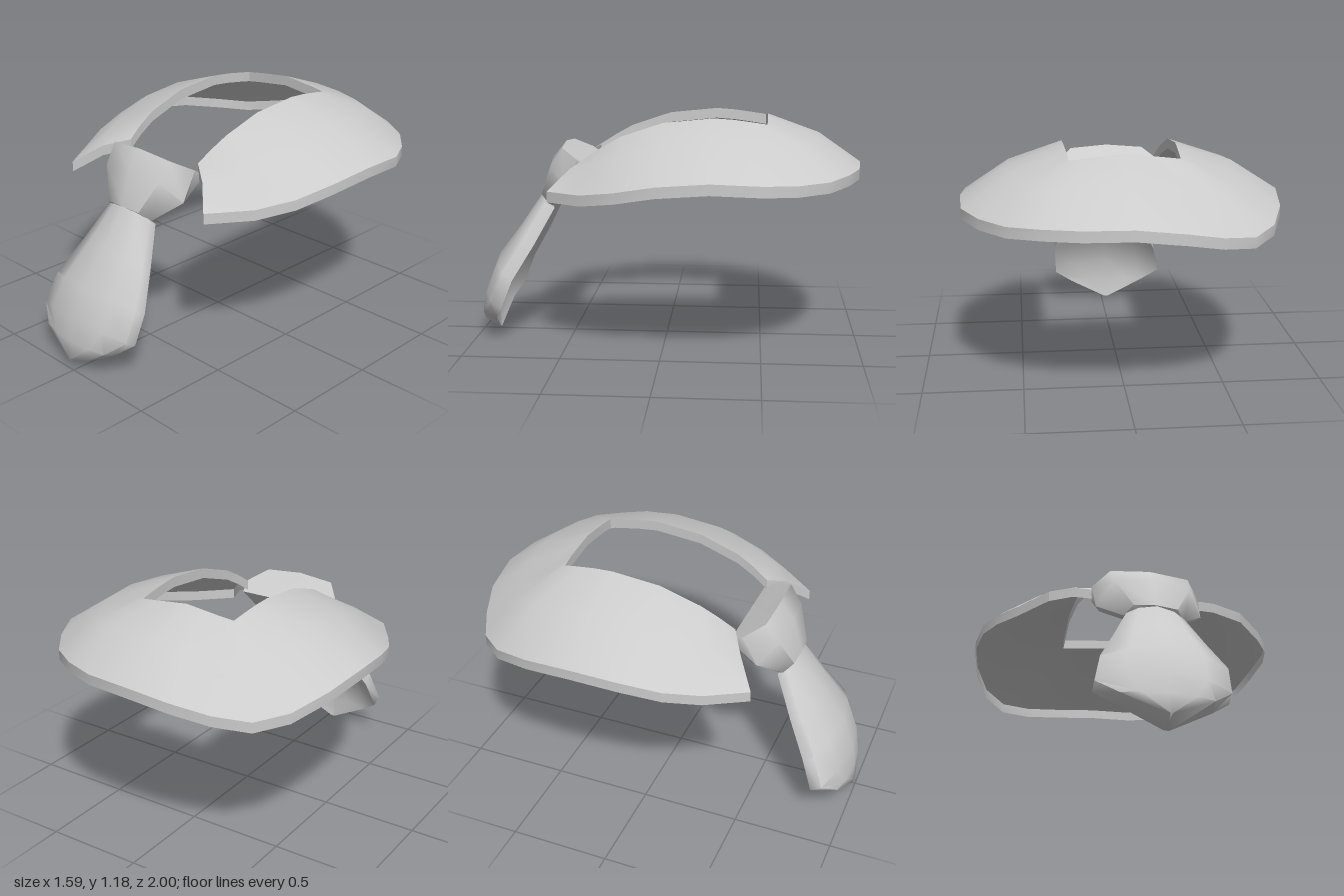
import * as THREE from 'three';
import { toCreasedNormals } from 'three/addons/utils/BufferGeometryUtils.js';

const material = new THREE.MeshStandardMaterial({ color: 0xcccccc, side: THREE.DoubleSide });
const V = (x, y, z) => new THREE.Vector3(x, y, z);

// Triangles between successive rows of points; closed rows wrap around
function skin(rows, closed) {
  const tris = [];
  const n = rows[0].length;
  for (let i = 0; i < rows.length - 1; i++) {
    for (let j = 0; j < (closed ? n : n - 1); j++) {
      const k = (j + 1) % n;
      const [a, b, c, d] = [rows[i][j], rows[i][k], rows[i + 1][k], rows[i + 1][j]];
      tris.push([a, b, c], [a, c, d]);
    }
  }
  return tris;
}

function makeMesh(name, tris, crease) {
  const geometry = new THREE.BufferGeometry().setFromPoints(tris.flat());
  const mesh = new THREE.Mesh(toCreasedNormals(geometry, crease), material);
  mesh.name = name;
  return mesh;
}

// Solid through a run of closed sections, capped at both ends
function loft(name, rings, crease) {
  const tris = skin(rings, true);
  const cap = (ring) => {
    const centre = ring.reduce((s, p) => s.add(p), V(0, 0, 0)).divideScalar(ring.length);
    return ring.map((p, j) => [ring[(j + 1) % ring.length], p, centre]);
  };
  tris.push(...cap(rings[0]), ...cap([...rings[rings.length - 1]].reverse()));
  // Turn the faces outward, judged by the enclosed volume
  const volume = tris.reduce((v, [a, b, c]) => v + a.dot(b.clone().cross(c)), 0);
  if (volume < 0) tris.forEach((t) => t.reverse());
  return makeMesh(name, tris, crease);
}

// Collar: edge points from the middle of the back to a front tip
function createCollar() {
  const inner = [
    [0, 1.185, -0.52], [0.09, 1.175, -0.52], [0.18, 1.165, -0.52], [0.265, 1.155, -0.515],
    [0.268, 1.166, -0.44], [0.272, 1.178, -0.35], [0.277, 1.185, -0.25], [0.275, 1.16, 0],
    [0.268, 1.09, 0.21], [0.258, 1.04, 0.3], [0.245, 0.985, 0.38],
  ];
  const outerRight = [
    [0, 0.94, -1], [0.23, 0.935, -0.975], [0.41, 0.93, -0.91], [0.565, 0.92, -0.81],
    [0.69, 0.92, -0.655], [0.775, 0.93, -0.49], [0.79, 0.94, -0.25], [0.775, 0.92, 0],
    [0.715, 0.88, 0.2], [0.615, 0.85, 0.37], [0.46, 0.84, 0.555],
  ];
  // The other side droops at its back corner
  const outerLeft = [
    [0, 0.94, -1], [0.23, 0.91, -0.975], [0.41, 0.87, -0.91], [0.57, 0.847, -0.825],
    [0.685, 0.868, -0.69], [0.76, 0.91, -0.49], [0.795, 0.94, -0.24], [0.775, 0.92, 0],
    [0.72, 0.88, 0.195], [0.635, 0.85, 0.36], [0.51, 0.84, 0.555],
  ];
  const section = (outer, side) => (start, i) => {
    const tip = i === inner.length - 1;
    const a = V(...start), c = V(...outer[i]);
    const b = a.clone().lerp(c, tip ? 0.5 : 0.55).add(tip ? V(0, 0.025, -0.012) : V(0, 0.04, 0));
    return [c, b, a].map((p) => V(p.x * side, p.y, p.z));
  };
  const left = inner.map(section(outerLeft, -1)).reverse();
  const rows = [...left, ...inner.map(section(outerRight, 1)).slice(1)];

  // Narrow hem hanging from the whole outline
  const outline = [
    ...rows.map((r) => r[0]),
    rows[rows.length - 1][1],
    ...rows.map((r) => r[2]).reverse(),
    rows[0][1],
  ];
  const lower = outline.map((p) => V(p.x, p.y - 0.053, p.z));
  const collar = new THREE.Group();
  collar.name = 'collar';
  collar.add(
    makeMesh('collarTop', skin(rows, false), 1),
    makeMesh('collarHem', skin([outline, lower], true), 0.75),
  );
  return collar;
}

// Knot: half outline of each ring from the front middle to the back
function createKnot() {
  const halves = [
    [[0, 1.035, 0.53], [0.2, 1.02, 0.52], [0.277, 0.97, 0.43], [0.265, 0.925, 0.36], [0, 0.925, 0.36]],
    [[0, 0.95, 0.6], [0.19, 0.925, 0.585], [0.268, 0.82, 0.5], [0.245, 0.81, 0.47], [0, 0.81, 0.47]],
    [[0, 0.772, 0.655], [0.11, 0.765, 0.648], [0.152, 0.725, 0.605], [0.135, 0.71, 0.585], [0, 0.71, 0.585]],
  ];
  const rings = halves.map((half) => [
    ...half.map((p) => V(...p)),
    ...half.slice(1, -1).reverse().map(([x, y, z]) => V(-x, y, z)),
  ]);
  return loft('tieKnot', rings, 1.05);
}

// Tie blade: rows of [left x, right x, middle y, middle z, edge y, edge z, back step y, back step z]
function createBlade() {
  const rows = [
    [-0.14, 0.15, 0.775, 0.648, 0.735, 0.615, -0.035, -0.04],
    [-0.225, 0.22, 0.59, 0.775, 0.55, 0.725, -0.035, -0.05],
    [-0.31, 0.29, 0.42, 0.905, 0.375, 0.835, -0.035, -0.055],
    [-0.345, 0.283, 0.27, 0.972, 0.22, 0.895, -0.03, -0.055],
    [-0.245, 0.185, 0.15, 0.99, 0.145, 0.958, -0.03, -0.07],
    [-0.04, -0.02, 0.05, 1, 0.05, 0.998, -0.048, -0.083],
  ];
  const rings = rows.map(([x0, x1, ym, zm, ye, ze, dy, dz]) => {
    const front = [-1, -0.6, 0, 0.6, 1].map((t) => V(
      THREE.MathUtils.lerp(x0, x1, (t + 1) / 2),
      THREE.MathUtils.lerp(ym, ye, t * t),
      THREE.MathUtils.lerp(zm, ze, t * t),
    ));
    const back = front.map((p) => V(p.x, p.y + dy, p.z + dz)).reverse();
    return [...front, ...back];
  });
  return loft('tieBlade', rings, 1.2);
}

export function createModel() {
  const model = new THREE.Group();
  model.name = 'collarAndTie';
  model.add(createCollar(), createKnot(), createBlade());
  return model;
}
